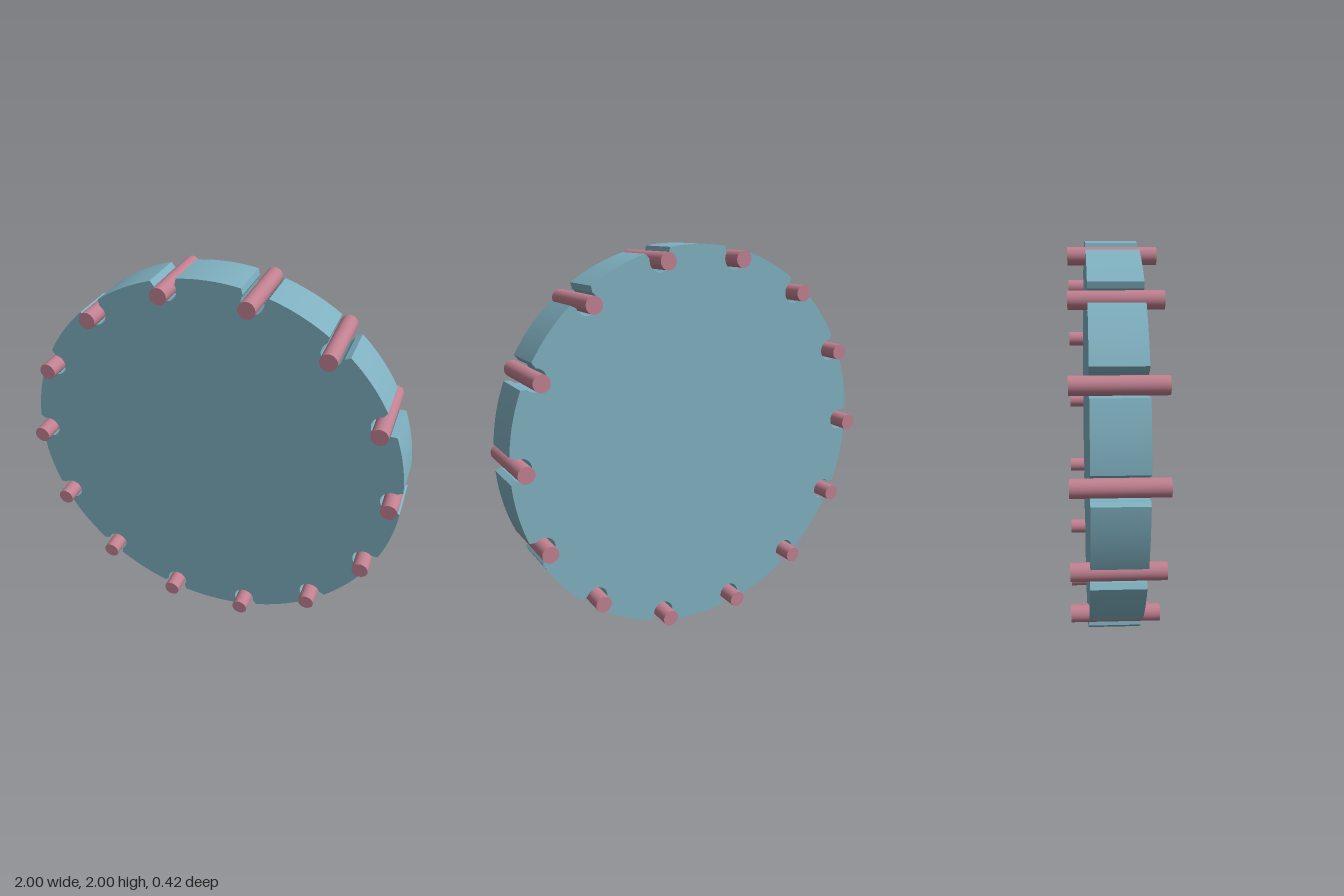
import * as THREE from 'three';
import { toCreasedNormals } from 'three/addons/utils/BufferGeometryUtils.js';

const COUNT = 14;          // pins and sockets around the rim
const STEP = (Math.PI * 2) / COUNT;
const R = 1;               // disc radius
const PIN_RING = 0.95;     // radius of the circle of pins
const PIN_R = 0.042;
const PIN_LENGTH = 0.424;
const SOCKET_R = 0.056;
const MOUTH = 0.067;       // half width of the socket mouth at the rim
const THICKNESS = 0.252;

// Disc outline: rim arcs alternating with round sockets that flare at the mouth
function discShape() {
  const shape = new THREE.Shape();
  const half = Math.asin(MOUTH / R);
  const neck = 0.35;       // angle at which the socket circle meets the flare
  for (let i = 0; i < COUNT; i++) {
    const a = i * STEP;
    const cx = PIN_RING * Math.cos(a), cy = PIN_RING * Math.sin(a);
    const start = a - half;
    if (i === 0) shape.moveTo(R * Math.cos(start), R * Math.sin(start));
    // Clockwise round the inner side of the socket
    const from = a - Math.PI / 2 + neck, to = a + Math.PI / 2 - neck;
    shape.absarc(cx, cy, SOCKET_R, from, to, true);
    // Rim up to the next socket
    shape.absarc(0, 0, R, a + half, a + STEP - half, false);
  }
  return shape;
}

export function createModel() {
  const model = new THREE.Group();
  model.name = 'pinnedDisc';
  const discMaterial = new THREE.MeshStandardMaterial({ color: 0x7fb0c0 });
  const pinMaterial = new THREE.MeshStandardMaterial({ color: 0xc08090 });

  // Notched disc
  const extruded = new THREE.ExtrudeGeometry(discShape(), {
    depth: THICKNESS, bevelEnabled: false, curveSegments: 16,
  });
  extruded.translate(0, 0, -THICKNESS / 2);
  const disc = new THREE.Mesh(toCreasedNormals(extruded, 0.5), discMaterial);
  disc.name = 'disc';
  disc.position.y = R;
  model.add(disc);

  // Pins standing free in the sockets
  const pins = new THREE.Group();
  pins.name = 'pins';
  pins.position.y = R;
  const pinGeometry = new THREE.CylinderGeometry(PIN_R, PIN_R, PIN_LENGTH, 32);
  pinGeometry.rotateX(Math.PI / 2);
  for (let i = 0; i < COUNT; i++) {
    const pin = new THREE.Mesh(pinGeometry, pinMaterial);
    pin.name = `pin${i + 1}`;
    pin.position.set(PIN_RING * Math.cos(i * STEP), PIN_RING * Math.sin(i * STEP), 0);
    pins.add(pin);
  }
  model.add(pins);
  return model;
}
